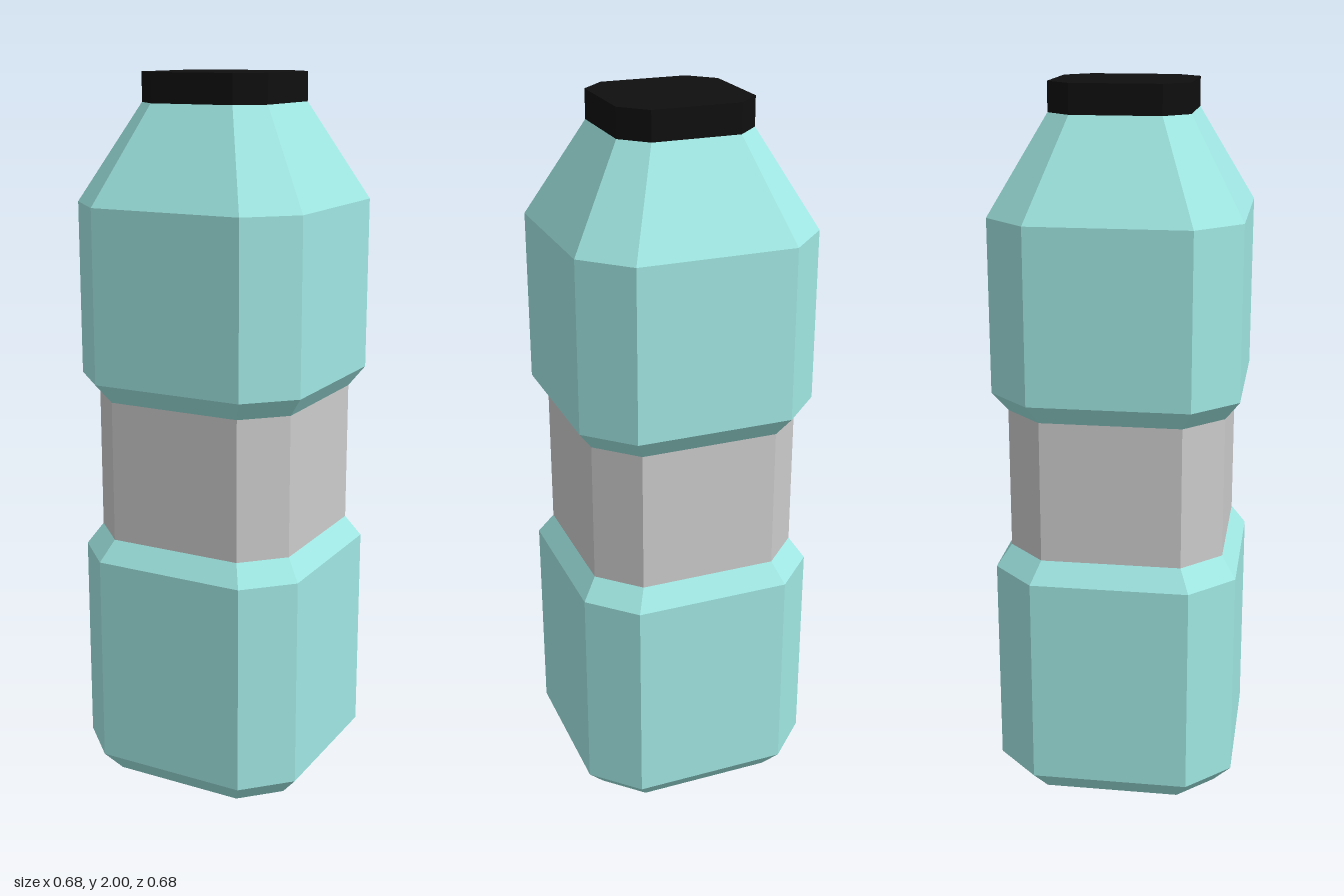
import * as THREE from 'three';

// Square ring with cut corners: h = half width, f = half length of the flat side
const ring = (y, h, f) => [
  [f, y, h], [h, y, f], [h, y, -f], [f, y, -h],
  [-f, y, -h], [-h, y, -f], [-h, y, f], [-f, y, h],
];

// Skin a stack of [y, h, f] sections, bottom to top, with optional end faces
function loft(name, sections, color, capBottom, capTop) {
  const rings = sections.map((s) => ring(...s));
  const pos = [];
  const tri = (a, b, c) => pos.push(...a, ...b, ...c);
  for (let i = 0; i < rings.length - 1; i++) {
    const lo = rings[i], hi = rings[i + 1];
    for (let j = 0; j < 8; j++) {
      const k = (j + 1) % 8;
      tri(lo[j], lo[k], hi[k]);
      tri(lo[j], hi[k], hi[j]);
    }
  }
  const first = rings[0], last = rings[rings.length - 1];
  for (let j = 1; j < 7; j++) {
    if (capBottom) tri(first[0], first[j + 1], first[j]);
    if (capTop) tri(last[0], last[j], last[j + 1]);
  }
  const geo = new THREE.BufferGeometry();
  geo.setAttribute('position', new THREE.Float32BufferAttribute(pos, 3));
  geo.computeVertexNormals();
  const mesh = new THREE.Mesh(geo, new THREE.MeshStandardMaterial({ color, flatShading: true }));
  mesh.name = name;
  return mesh;
}

export function createModel() {
  const group = new THREE.Group();
  group.name = 'bottle';
  const teal = 0xa0e7e3;

  // Lower body with bevelled foot and rim
  group.add(loft('lowerBody', [
    [0, 0.29, 0.19], [0.06, 0.34, 0.22], [0.66, 0.34, 0.22], [0.72, 0.3, 0.194],
  ], teal, true, false));

  // Recessed label band
  group.add(loft('labelBand', [[0.72, 0.3, 0.194], [1.12, 0.3, 0.194]], 0xcccccc, false, false));

  // Upper body and tapered shoulder
  group.add(loft('upperBody', [
    [1.12, 0.3, 0.194], [1.175, 0.34, 0.22], [1.655, 0.34, 0.22], [1.92, 0.19, 0.122],
  ], teal, false, false));

  // Cap
  group.add(loft('cap', [[1.92, 0.19, 0.122], [2, 0.19, 0.122]], 0x0f0f0f, false, true));

  return group;
}
